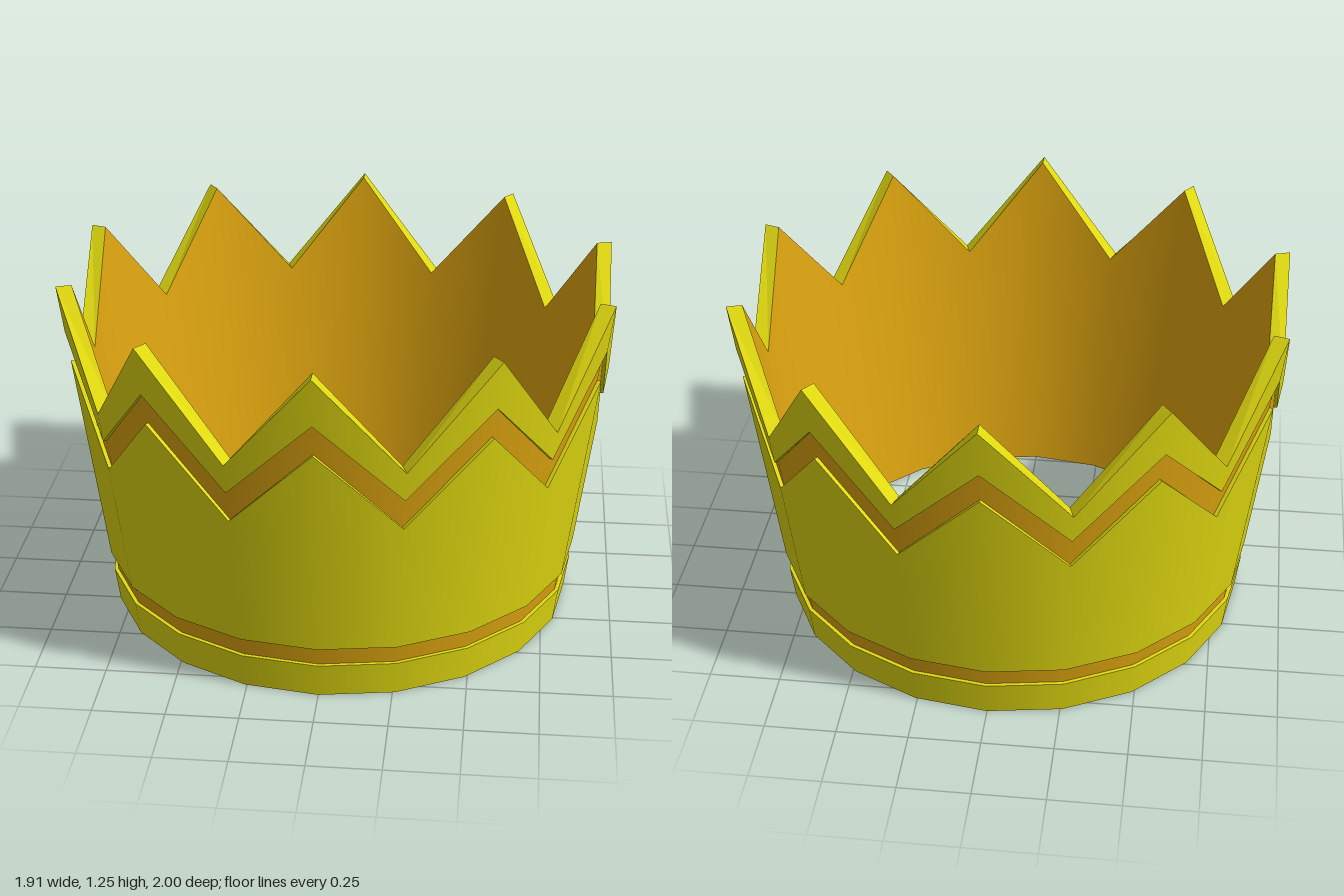
import * as THREE from 'three';

const SEGMENTS = 20; // ten points and ten valleys
const SLOPE = 0.133;

const outer = (y) => 0.834 + SLOPE * y;
const groove = (y) => outer(y) - 0.014;
const inner = (y) => 0.775 + SLOPE * y + 0.003 * y;

// A loop has its own height at points and at valleys, and a radius rule
const loop = (peak, valley, radius) => ({ peak, valley, radius });

// Band of wall between two loops; side +1 / -1 is smooth outward / inward, 0 is flat
function strip(a, b, side) {
  const pos = [], nor = [], index = [];
  const len = Math.hypot(1, SLOPE);
  for (let i = 0; i <= SEGMENTS; i++) {
    const t = (i / SEGMENTS) * Math.PI * 2, s = Math.sin(t), c = Math.cos(t);
    for (const l of [a, b]) {
      const y = i % 2 ? l.valley : l.peak;
      const r = l.radius(y);
      pos.push(r * s, y, r * c);
      nor.push((side * s) / len, (-side * SLOPE) / len, (side * c) / len);
    }
    if (i < SEGMENTS) {
      const k = i * 2;
      index.push(k, k + 2, k + 3, k, k + 3, k + 1);
    }
  }
  const geo = new THREE.BufferGeometry();
  geo.setAttribute('position', new THREE.Float32BufferAttribute(pos, 3));
  geo.setAttribute('normal', new THREE.Float32BufferAttribute(nor, 3));
  geo.setIndex(index);
  if (side !== 0) return geo;
  const flat = geo.toNonIndexed();
  flat.computeVertexNormals();
  return flat;
}

export function createModel() {
  const yellow = new THREE.MeshStandardMaterial({ color: 0xe0d910 });
  yellow.name = 'yellow gold';
  const orange = new THREE.MeshStandardMaterial({ color: 0xdea510 });
  orange.name = 'orange gold';

  const crown = new THREE.Group();
  crown.name = 'crown';
  const add = (name, a, b, side, material) => {
    const mesh = new THREE.Mesh(strip(a, b, side), material);
    mesh.name = name;
    crown.add(mesh);
  };

  // Heights of each edge: [at points, at valleys]
  const base = [0, 0], bandTop = [0.125, 0.125], bodyBottom = [0.195, 0.195];
  const bodyTop = [0.97, 0.68], trimBottom = [1.08, 0.79], rim = [1.25, 0.895];
  const out = (h) => loop(...h, outer);
  const cut = (h) => loop(...h, groove);
  const ins = (h) => loop(...h, inner);

  // Outside, from the base upward
  add('baseBand', out(base), out(bandTop), 1, yellow);
  add('baseBandLedge', out(bandTop), cut(bandTop), 0, yellow);
  add('lowerGroove', cut(bandTop), cut(bodyBottom), 1, orange);
  add('bodyUnderside', cut(bodyBottom), out(bodyBottom), 0, yellow);
  add('body', out(bodyBottom), out(bodyTop), 1, yellow);
  add('bodyLedge', out(bodyTop), cut(bodyTop), 0, yellow);
  add('zigzagGroove', cut(bodyTop), cut(trimBottom), 1, orange);
  add('trimUnderside', cut(trimBottom), out(trimBottom), 0, yellow);
  add('pointedTrim', out(trimBottom), out(rim), 1, yellow);

  // Rim, lining and underside
  add('rim', out(rim), ins(rim), 0, yellow);
  add('lining', ins(rim), ins(base), -1, orange);
  add('baseUnderside', ins(base), out(base), 0, yellow);
  return crown;
}
